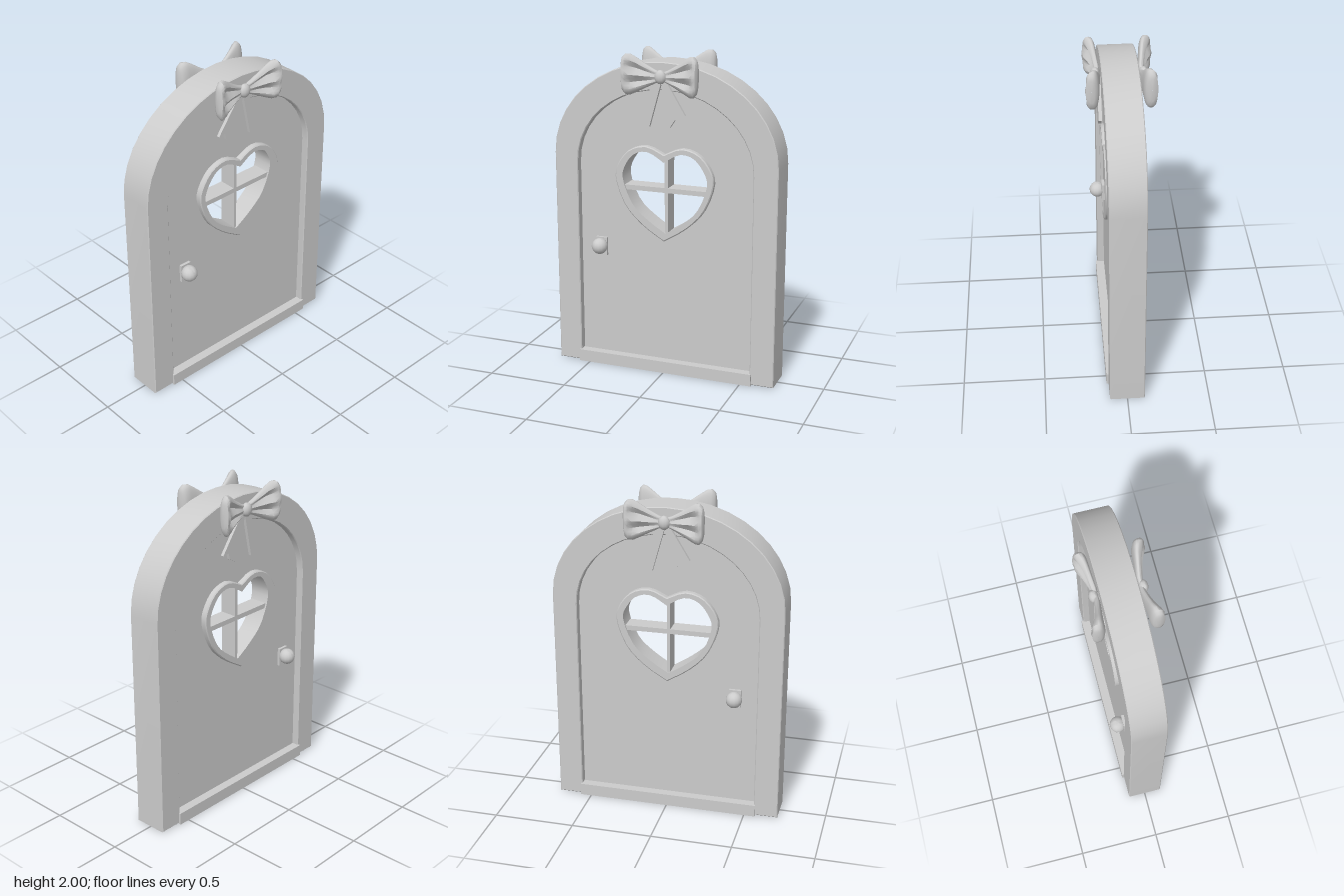
import * as THREE from 'three';
import { toCreasedNormals, mergeVertices } from 'three/addons/utils/BufferGeometryUtils.js';

const material = new THREE.MeshStandardMaterial({ color: 0xcccccc });

function add(parent, name, geometry, x = 0, y = 0, z = 0, crease = 0.6) {
  const mesh = new THREE.Mesh(toCreasedNormals(geometry, crease), material);
  mesh.name = name;
  mesh.position.set(x, y, z);
  parent.add(mesh);
  return mesh;
}

// Extrusion centred on z with a total half depth that includes its bevel
function slab(shape, half, bevel = 0) {
  const g = new THREE.ExtrudeGeometry(shape, {
    depth: 2 * (half - bevel), bevelEnabled: bevel > 0, bevelSize: bevel, bevelOffset: -bevel,
    bevelThickness: bevel, bevelSegments: 1, curveSegments: 12,
  });
  return g.translate(0, 0, -(half - bevel));
}

const points = (list) => list.map(([x, y]) => new THREE.Vector2(x, y));

// Right-to-left arch with vertical legs
function archPoints(a, spring, b, foot, n = 20) {
  const pts = [new THREE.Vector2(a, foot)];
  for (let i = 0; i <= n; i++) {
    const t = (Math.PI * i) / n;
    pts.push(new THREE.Vector2(a * Math.cos(t), spring + b * Math.sin(t)));
  }
  pts.push(new THREE.Vector2(-a, foot));
  return pts;
}

// Closed heart from its right half, listed from notch to tip
function heartPoints(half) {
  const right = new THREE.SplineCurve(points(half)).getPoints(20);
  const left = right.slice(1, -1).reverse().map((p) => new THREE.Vector2(-p.x, p.y));
  return [...right, ...left];
}

const heartOuter = heartPoints([[0, 1.395], [0.11, 1.44], [0.22, 1.41], [0.295, 1.32],
  [0.312, 1.22], [0.25, 1.06], [0.14, 0.945], [0, 0.855]]);
const heartInner = heartPoints([[0, 1.355], [0.1, 1.41], [0.195, 1.39], [0.265, 1.3],
  [0.278, 1.21], [0.215, 1.06], [0.11, 0.965], [0, 0.895]]);

// Puffed bow loop lofted from knot to tip, with folds on its front
function bowLoop(side) {
  // x, centre y, half height, centre z, half depth
  const stations = [
    [0.0, 1.867, 0.025, 0.125, 0.012], [0.04, 1.867, 0.04, 0.128, 0.018],
    [0.1, 1.87, 0.072, 0.138, 0.022], [0.15, 1.875, 0.102, 0.148, 0.028],
    [0.185, 1.878, 0.12, 0.158, 0.036], [0.21, 1.88, 0.119, 0.165, 0.04],
    [0.228, 1.882, 0.1, 0.168, 0.033], [0.236, 1.885, 0.07, 0.168, 0.018],
    [0.238, 1.885, 0.001, 0.168, 0.001],
  ];
  const fold = [0, 0.4, 0.9, 1, 0.8, 0.2, 0, 0, 0];
  const n = 32, pos = [], idx = [];
  stations.forEach(([x, cy, h, cz, d], i) => {
    for (let j = 0; j < n; j++) {
      const a = (2 * Math.PI * j) / n, c = Math.cos(a), s = Math.sin(a);
      let z = Math.sign(s) * Math.pow(Math.abs(s), 0.7);
      if (s > 0) z *= 1 - fold[i] * 0.5 * (1 - Math.cos((2 * Math.PI * c) / 0.75));
      pos.push(side * x, cy + h * c, cz + d * z);
      if (i < stations.length - 1) {
        const p = i * n + j, q = i * n + ((j + 1) % n);
        const quad = side > 0 ? [p, q, p + n, q, q + n, p + n] : [p, p + n, q, q, p + n, q + n];
        idx.push(...quad);
      }
    }
  });
  const g = new THREE.BufferGeometry();
  g.setAttribute('position', new THREE.Float32BufferAttribute(pos, 3));
  g.setIndex(idx);
  return g;
}

function createBow() {
  const bow = new THREE.Group();
  add(bow, 'bowLoopLeft', bowLoop(1), 0, 0, 0, 0.8);
  add(bow, 'bowLoopRight', bowLoop(-1), 0, 0, 0, 0.8);
  const knot = new THREE.SphereGeometry(1, 12, 8).scale(0.036, 0.042, 0.028);
  add(bow, 'bowKnot', mergeVertices(knot), -0.005, 1.867, 0.138, 0.8);
  // Notched ribbon tails
  const tails = {
    bowTailRight: [[0, 1.85], [-0.03, 1.85], [-0.19, 1.63], [-0.145, 1.635], [-0.135, 1.595], [-0.08, 1.565]],
    bowTailLeft: [[0.02, 1.85], [-0.01, 1.85], [0.05, 1.57], [0.08, 1.615], [0.145, 1.645]],
  };
  for (const [name, list] of Object.entries(tails)) {
    add(bow, name, slab(new THREE.Shape(points(list)), 0.01), 0, 0, 0.117);
  }
  return bow;
}

function createKnob(dir) {
  const knob = new THREE.Group();
  add(knob, 'knobPlate', new THREE.BoxGeometry(0.072, 0.115, 0.025), 0, -0.008, dir * 0.07);
  add(knob, 'knobStem', new THREE.CylinderGeometry(0.022, 0.028, 0.05, 12).rotateX(Math.PI / 2), 0, 0, dir * 0.085);
  add(knob, 'knobBall', new THREE.SphereGeometry(0.05, 14, 10), 0, 0, dir * 0.112);
  return knob;
}

export function createModel() {
  const model = new THREE.Group();
  model.name = 'archedDoor';

  // Arched surround
  const outer = archPoints(0.71, 1.36, 0.59, 0.004);
  const inner = archPoints(0.56, 1.31, 0.475, 0.004).reverse();
  add(model, 'frame', slab(new THREE.Shape([...outer, ...inner]), 0.107, 0.005));

  // Recessed door leaf with heart opening
  const leaf = new THREE.Shape(archPoints(0.557, 1.31, 0.473, 0.03));
  leaf.holes.push(new THREE.Path(heartInner));
  add(model, 'doorLeaf', slab(leaf, 0.065));

  // Raised heart moulding and glazing bars
  const ring = new THREE.Shape(heartOuter);
  ring.holes.push(new THREE.Path(heartInner));
  add(model, 'heartMoulding', slab(ring, 0.1, 0.006));
  add(model, 'windowBarVertical', new THREE.BoxGeometry(0.02, 0.48, 0.11), 0, 1.13, 0);
  add(model, 'windowBarHorizontal', new THREE.BoxGeometry(0.55, 0.03, 0.11), 0, 1.165, 0);

  // Threshold
  add(model, 'sill', new THREE.BoxGeometry(1.14, 0.076, 0.24), 0, 0.038, 0);

  // Knobs and bows on both faces
  for (const dir of [1, -1]) {
    const face = dir > 0 ? 'front' : 'back';
    const knob = createKnob(dir);
    knob.name = face + 'Knob';
    knob.position.set(-0.42, 0.785, 0);
    model.add(knob);
    const bow = createBow();
    bow.name = face + 'Bow';
    if (dir < 0) bow.rotation.y = Math.PI;
    model.add(bow);
  }
  return model;
}
